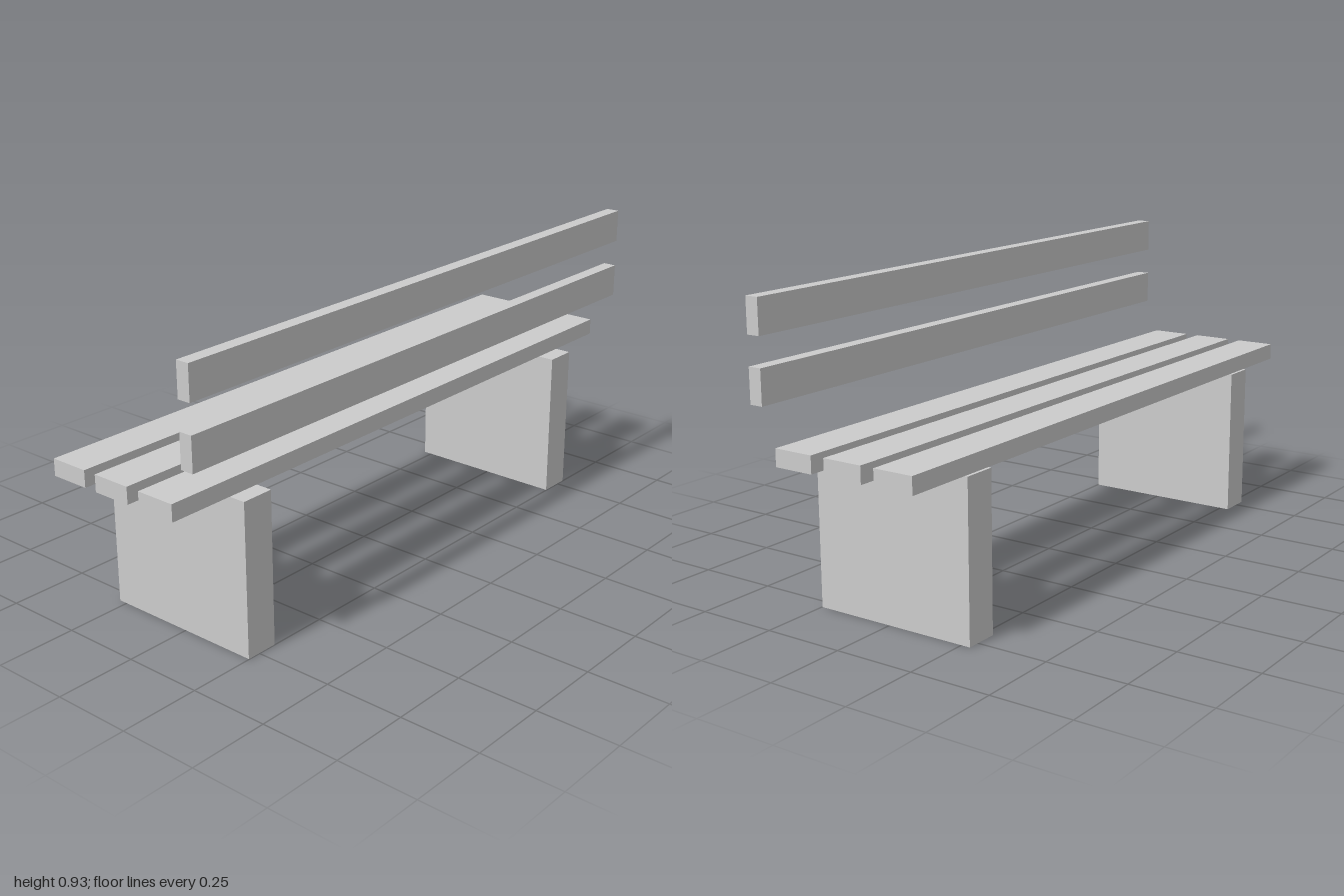
import * as THREE from 'three';

export function createModel() {
  const bench = new THREE.Group();
  bench.name = 'bench';
  const material = new THREE.MeshStandardMaterial({ color: 0xcccccc, flatShading: true });

  function addBoard(name, size, position) {
    const board = new THREE.Mesh(new THREE.BoxGeometry(...size), material);
    board.name = name;
    board.position.set(...position);
    bench.add(board);
  }

  // Slab legs
  const legHeight = 0.475;
  addBoard('leftLeg', [0.104, legHeight, 0.527], [0.734, legHeight / 2, -0.015]);
  addBoard('rightLeg', [0.104, legHeight, 0.527], [-0.739, legHeight / 2, -0.015]);

  // Three seat slats resting on the legs
  [0.133, -0.037, -0.206].forEach((z, i) => {
    addBoard(`seatSlat${i + 1}`, [2, 0.052, 0.126], [0, legHeight + 0.026, z]);
  });

  // Two upright backrest slats
  [0.686, 0.876].forEach((y, i) => {
    addBoard(`backSlat${i + 1}`, [2, 0.104, 0.042], [0, y, 0.259]);
  });

  return bench;
}
